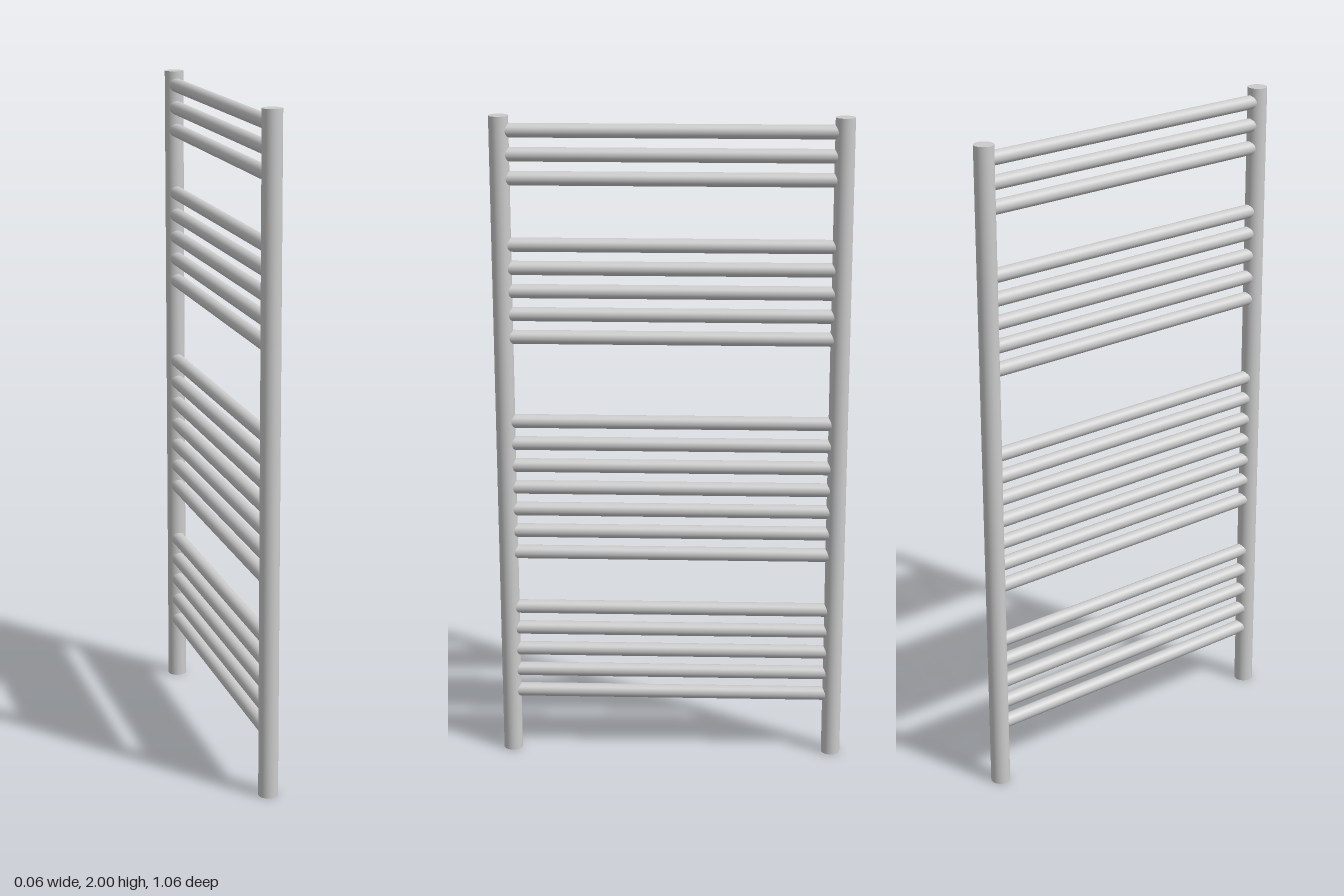
import * as THREE from 'three';

export function createModel() {
  const group = new THREE.Group();
  const material = new THREE.MeshStandardMaterial({ color: 0xcccccc });

  // Two upright pipes
  const postGeometry = new THREE.CylinderGeometry(0.029, 0.029, 2, 40);
  for (const side of [1, -1]) {
    const post = new THREE.Mesh(postGeometry, material);
    post.name = side > 0 ? 'frontPost' : 'backPost';
    post.position.set(0, 1, 0.5 * side);
    group.add(post);
  }

  // Horizontal rungs in four banks: lowest height and count of each
  const rungGeometry = new THREE.CylinderGeometry(0.021, 0.021, 1, 32, 1, true).rotateX(Math.PI / 2);
  const pitch = 0.07;
  const banks = [[0.197, 5], [0.658, 7], [1.34, 5], [1.817, 3]];
  banks.forEach(([bottom, count], b) => {
    const bank = new THREE.Group();
    bank.name = `rungBank${b + 1}`;
    for (let i = 0; i < count; i++) {
      const rung = new THREE.Mesh(rungGeometry, material);
      rung.name = `rung${i + 1}`;
      rung.position.y = bottom + i * pitch;
      bank.add(rung);
    }
    group.add(bank);
  });

  return group;
}
